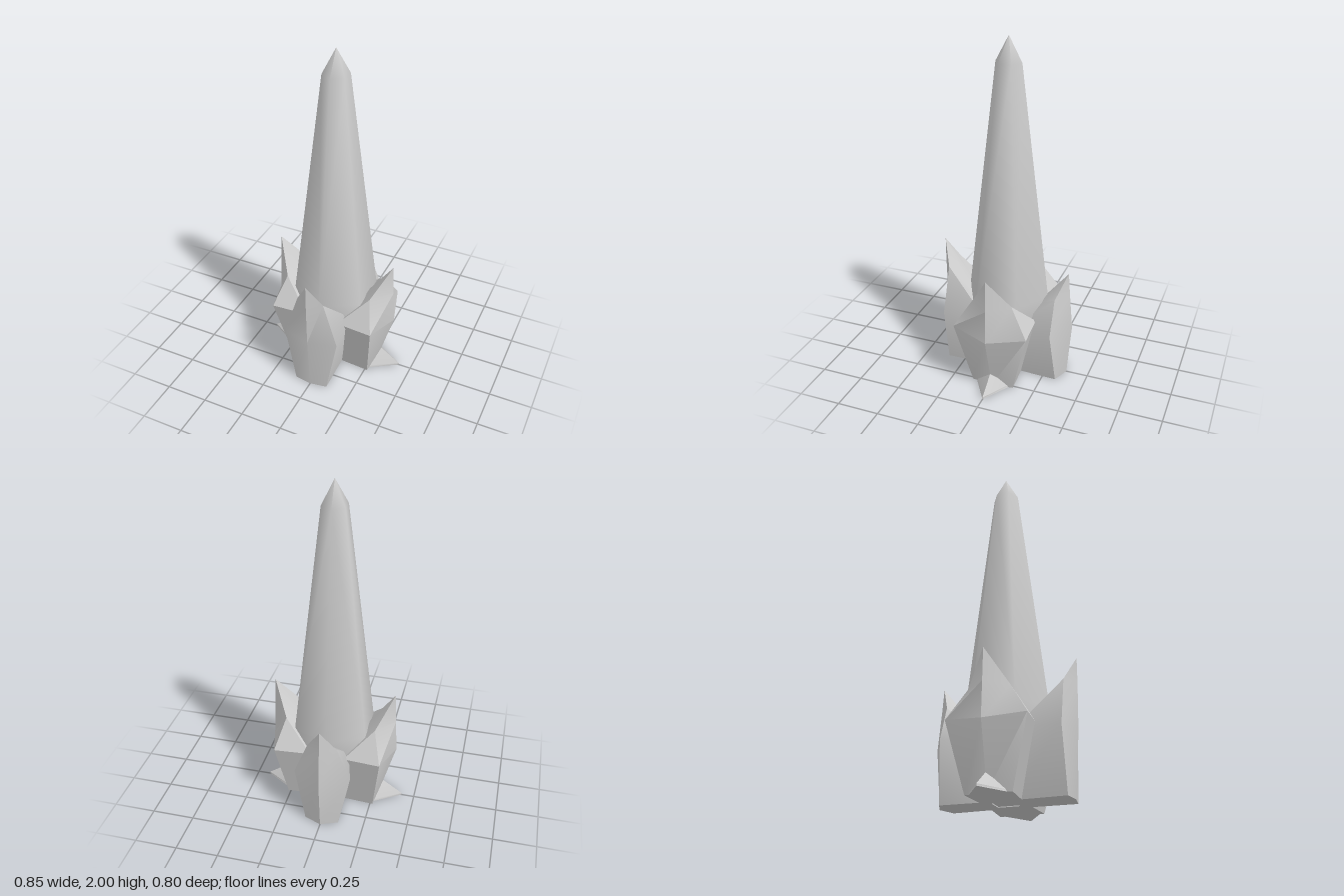
import * as THREE from 'three';
import { toCreasedNormals } from 'three/addons/utils/BufferGeometryUtils.js';

// Skin a stack of rings (bottom to top, each running counter-clockwise from above)
function loft(rings, crease) {
  const pos = [];
  const tri = (a, b, c) => {
    const area = new THREE.Triangle(a, b, c).getArea();
    if (area > 1e-7) for (const p of [a, b, c]) pos.push(p.x, p.y, p.z);
  };
  const r = rings.map((ring) => ring.map((p) => new THREE.Vector3(...p)));
  const n = r[0].length;
  for (let k = 0; k < r.length - 1; k++) {
    for (let i = 0; i < n; i++) {
      const j = (i + 1) % n;
      // mirror the diagonal so both halves match
      if (i < n / 2) {
        tri(r[k][i], r[k][j], r[k + 1][j]);
        tri(r[k][i], r[k + 1][j], r[k + 1][i]);
      } else {
        tri(r[k][i], r[k][j], r[k + 1][i]);
        tri(r[k][j], r[k + 1][j], r[k + 1][i]);
      }
    }
  }
  for (let i = 1; i < n - 1; i++) tri(r[0][0], r[0][i + 1], r[0][i]); // bottom cap
  const g = new THREE.BufferGeometry();
  g.setAttribute('position', new THREE.Float32BufferAttribute(pos, 3));
  return toCreasedNormals(g, crease);
}

// Thick pointed shard facing +z. Each row: inner [w, y, z], edge [w, y, z], ridge [y, z]
function shardGeometry(rows, tip) {
  const rings = rows.map(([a, e, m]) => [
    [-a[0], a[1], a[2]], [-e[0], e[1], e[2]], [0, m[0], m[1]],
    [e[0], e[1], e[2]], [a[0], a[1], a[2]],
  ]);
  rings.push(Array(5).fill([0, ...tip]));
  return loft(rings, 0.65);
}

export function createModel() {
  const model = new THREE.Group();
  model.name = 'crystalSpire';
  const stone = new THREE.MeshStandardMaterial({ color: 0xcccccc });
  stone.name = 'pale grey stone';

  const add = (name, geometry, turn = 0) => {
    const mesh = new THREE.Mesh(geometry, stone);
    mesh.name = name;
    mesh.rotation.y = turn;
    model.add(mesh);
  };

  // Tall six-sided spire: [radius, height]
  const profile = [[0.13, 0.005], [0.25, 0.32], [0.243, 0.5], [0.075, 1.86], [0, 2]];
  const spire = profile.map(([r, y]) => Array.from({ length: 6 }, (_, i) => {
    const a = (i * Math.PI) / 3;
    return [r * Math.sin(a), y, r * Math.cos(a)];
  }));
  add('spire', loft(spire, 1.1));

  // Front shard
  add('frontShard', shardGeometry([
    [[0.09, 0, 0.06], [0.1, 0, 0.355], [0, 0.37]],
    [[0.145, 0.36, 0.1], [0.165, 0.35, 0.35], [0.35, 0.395]],
    [[0.03, 0.46, 0.21], [0.08, 0.62, 0.345], [0.62, 0.4]],
  ], [0.76, 0.4]));

  // Back shard
  add('backShard', shardGeometry([
    [[0.09, 0, 0.06], [0.1, 0, 0.33], [0, 0.37]],
    [[0.11, 0.35, 0.1], [0.165, 0.33, 0.31], [0.32, 0.395]],
    [[0.03, 0.46, 0.2], [0.085, 0.53, 0.31], [0.54, 0.375]],
  ], [0.67, 0.365]), Math.PI);

  // Side shards, each with a small spike at its foot
  const side = shardGeometry([
    [[0.11, 0, 0.05], [0.125, 0, 0.265], [0, 0.28]],
    [[0.205, 0.38, 0.1], [0.22, 0.38, 0.315], [0.35, 0.378]],
    [[0.03, 0.47, 0.18], [0.115, 0.55, 0.265], [0.55, 0.368]],
  ], [0.735, 0.36]);
  const spike = loft([
    [[-0.11, 0, 0.25], [0, 0, 0.425], [0.11, 0, 0.25]],
    [[-0.105, 0.012, 0.25], [0, 0.012, 0.425], [0.105, 0.012, 0.25]],
    Array(3).fill([0, 0.115, 0.275]),
  ], 0.5);
  for (const [name, s] of [['left', 1], ['right', -1]]) {
    add(name + 'Shard', side, (s * Math.PI) / 2);
    add(name + 'FootSpike', spike, (s * Math.PI) / 2);
  }
  return model;
}
